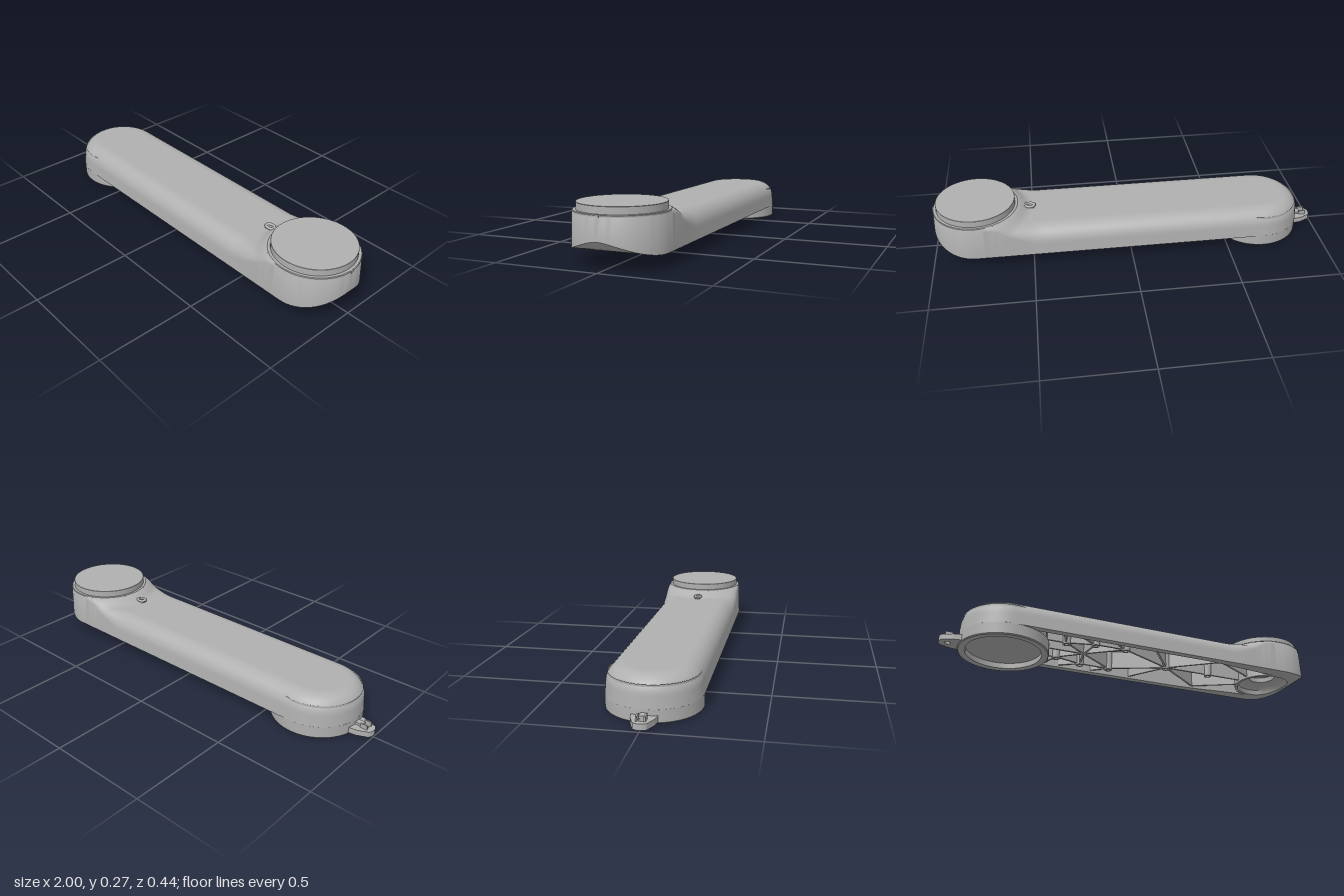
import * as THREE from 'three';
import { toCreasedNormals } from 'three/addons/utils/BufferGeometryUtils.js';

const LEFT = -0.69, RIGHT = 0.775, R = 0.22, CEIL = 0.165;
const clamp01 = (t) => Math.min(1, Math.max(0, t));
const smooth = (a, b, v) => THREE.MathUtils.smoothstep(v, a, b);
const lerp = THREE.MathUtils.lerp;

// underside height: flat, then curving up at the +x end
const bottomY = (x) => {
  const t = clamp01((x - 0.8) / 0.2);
  return 0.06 + 0.09 * (1 - Math.sqrt(1 - t * t * 0.98));
};
// top height: flat deck swelling up around the output joint
const topY = (x, z) => 0.2 + 0.036 * (1 - smooth(0.205, 0.275, Math.hypot(x - RIGHT, z)));

// spine stations: each has a spine x and an outward direction
function stations() {
  const list = [], arc = 40, side = 70;
  const arcAt = (x, from) => {
    for (let i = 0; i <= arc; i++) {
      const a = from + Math.PI * i / arc;
      list.push([x, Math.cos(a), Math.sin(a)]);
    }
  };
  // straight sides are sampled more densely near the raised joint
  const sideAt = (z, back) => {
    for (let i = 1; i < side; i++) {
      const t = back ? 1 - i / side : i / side;
      list.push([RIGHT - (RIGHT - LEFT) * Math.pow(t, 1.6), 0, z]);
    }
  };
  arcAt(RIGHT, -Math.PI / 2);
  sideAt(1, false);
  arcAt(LEFT, Math.PI / 2);
  sideAt(-1, true);
  return list;
}

// hollow shell lofted around the spine
function shellGeometry() {
  const st = stations(), rows = [];
  const row = (radius, height) => rows.push(st.map(([sx, dx, dz]) => {
    const r = radius(sx, dx);
    const x = sx + dx * r, z = dz * r;
    return [x, height(x, z, sx, dx), z];
  }));
  const inner = (sx) => lerp(0.185, 0.152, smooth(0.3, RIGHT, sx));
  const round = (sx, dx) => lerp(0.085, 0.012, smooth(0.45, 0.7, sx));
  // ceiling, inner wall, bottom rim
  row(() => 0, () => CEIL);
  row(inner, () => CEIL);
  for (let k = 0; k <= 6; k++) row((sx) => lerp(inner(sx), R, k / 6), (x) => bottomY(x));
  // outer wall with a slight draft, then the rounded top edge
  const draft = 0.005;
  for (let k = 0; k <= 10; k++) {
    const a = Math.PI / 2 * k / 10;
    row((sx) => R - draft - round(sx) * (1 - Math.cos(a)),
      (x, z, sx) => topY(x, z) - round(sx) * (1 - Math.sin(a)));
  }
  // top deck
  for (let k = 1; k <= 14; k++) {
    row((sx) => (R - draft - round(sx)) * (1 - k / 14), (x, z) => topY(x, z));
  }
  const n = st.length, index = [];
  for (let j = 0; j < rows.length - 1; j++) {
    for (let i = 0; i < n; i++) {
      const a = j * n + i, b = j * n + (i + 1) % n;
      index.push(a, a + n, b, b, a + n, b + n);
    }
  }
  const g = new THREE.BufferGeometry();
  g.setAttribute('position', new THREE.Float32BufferAttribute(rows.flat(2), 3));
  g.setIndex(index);
  return toCreasedNormals(g, 0.6);
}

const lathe = (pts, seg = 64) => toCreasedNormals(
  new THREE.LatheGeometry(pts.map(([r, y]) => new THREE.Vector2(r, y)), seg), 0.6);

export function createModel() {
  const group = new THREE.Group();
  const grey = new THREE.MeshStandardMaterial({ color: 0xb0b0b0, side: THREE.DoubleSide });
  grey.name = 'castGrey';
  const add = (name, geo, x = 0, y = 0, z = 0) => {
    const m = new THREE.Mesh(geo, grey);
    m.name = name;
    m.position.set(x, y, z);
    group.add(m);
    return m;
  };
  const box = (name, w, h, d, x, y, z) => add(name, new THREE.BoxGeometry(w, h, d), x, y, z);

  add('armShell', shellGeometry());

  // lower joint: open ring with a recessed disc
  add('lowerJoint', lathe([[0, 0.03], [0.185, 0.03], [0.185, 0.002], [0.188, 0], [0.216, 0],
    [0.22, 0.005], [0.22, 0.062], [0.205, 0.075], [0.205, CEIL]]), LEFT);
  box('lowerKey', 0.006, 0.022, 0.014, LEFT + R, 0.011, 0);

  // upper joint: collar and output disc
  add('upperCollar', lathe([[0.214, 0.2], [0.214, 0.234], [0.211, 0.237], [0, 0.237]]), RIGHT);
  add('outputDisc', lathe([[0.198, 0.23], [0.198, 0.269], [0.197, 0.27], [0, 0.27]]), RIGHT);
  box('upperKey', 0.006, 0.012, 0.014, RIGHT + 0.214, 0.232, 0);

  // funnel under the upper joint, its rim following the curved underside
  const funnel = new THREE.LatheGeometry([[0.153, 0.16], [0.153, 0.06], [0.138, 0.06], [0.132, 0.085],
    [0.115, 0.1], [0.09, 0.105], [0.07, 0.11], [0.068, 0.135], [0, 0.135]]
    .map(([r, y]) => new THREE.Vector2(r, y)), 64);
  const p = funnel.attributes.position;
  for (let i = 0; i < p.count; i++) p.setY(i, Math.max(p.getY(i), bottomY(p.getX(i) + RIGHT)));
  add('underFunnel', toCreasedNormals(funnel, 0.6), RIGHT);

  // stiffening ribs inside the open underside
  const rib = (x1, z1, x2, z2) => {
    const m = box('rib', Math.hypot(x2 - x1, z2 - z1), CEIL - 0.07, 0.01,
      (x1 + x2) / 2, (CEIL + 0.07) / 2, (z1 + z2) / 2);
    m.rotation.y = -Math.atan2(z2 - z1, x2 - x1);
  };
  const boss = (x, z) => add('screwBoss', lathe([[0.01, CEIL], [0.01, 0.062], [0.02, 0.062],
    [0.022, CEIL]], 20), x, 0, z);
  boss(0.18, 0);
  boss(0.43, 0);
  rib(0.18, 0, 0.43, 0);
  rib(0.43, 0, 0.63, 0);
  for (const s of [-1, 1]) {
    boss(-0.1, s * 0.127);
    boss(-0.26, s * 0.125);
    boss(-0.4, s * 0.09);
    rib(0.18, 0, 0.42, s * 0.175);
    rib(0.42, s * 0.175, 0.64, s * 0.06);
    rib(0.18, 0, -0.1, s * 0.127);
    rib(0.18, 0, 0.04, s * 0.185);
    rib(-0.1, s * 0.127, -0.18, s * 0.185);
    rib(-0.1, s * 0.127, -0.26, s * 0.125);
    rib(-0.1, s * 0.127, -0.28, 0);
    rib(-0.28, 0, -0.26, s * 0.125);
    rib(-0.26, s * 0.125, -0.4, s * 0.09);
    rib(-0.28, 0, -0.4, s * 0.09);
    rib(-0.26, s * 0.125, -0.36, s * 0.185);
    rib(-0.4, s * 0.09, -0.5, s * 0.09);
    rib(-0.4, s * 0.09, -0.44, s * 0.185);
  }
  rib(-0.28, 0, -0.48, 0);

  // lug on the lower joint: tapered plate with an eye and a catch
  const s = new THREE.Shape();
  s.moveTo(-0.89, -0.06);
  s.lineTo(-0.94, -0.052);
  s.lineTo(-0.99, -0.03);
  s.quadraticCurveTo(-1.01, 0, -0.99, 0.03);
  s.lineTo(-0.94, 0.052);
  s.lineTo(-0.89, 0.06);
  const eye = new THREE.Path();
  eye.absarc(-0.957, 0, 0.014, 0, Math.PI * 2, true);
  s.holes.push(eye);
  const plate = new THREE.ExtrudeGeometry(s, { depth: 0.028, bevelEnabled: false });
  plate.rotateX(-Math.PI / 2);
  add('lugPlate', plate, 0, 0.008, 0);
  for (const k of [-1, 1]) box('lugCheek', 0.035, 0.024, 0.008, -0.957, 0.046, k * 0.018);
  box('lugBridge', 0.05, 0.012, 0.03, -0.92, 0.042, 0);

  // small latch on the deck beside the upper joint
  const eyelet = add('latchEyelet', new THREE.TorusGeometry(0.017, 0.007, 10, 24), 0.505, 0.212, 0);
  eyelet.rotation.x = Math.PI / 2;
  eyelet.scale.x = 1.3;
  box('latchTongue', 0.06, 0.014, 0.014, 0.55, 0.212, 0);
  box('latchBase', 0.04, 0.014, 0.03, 0.505, 0.203, 0);
  return group;
}
